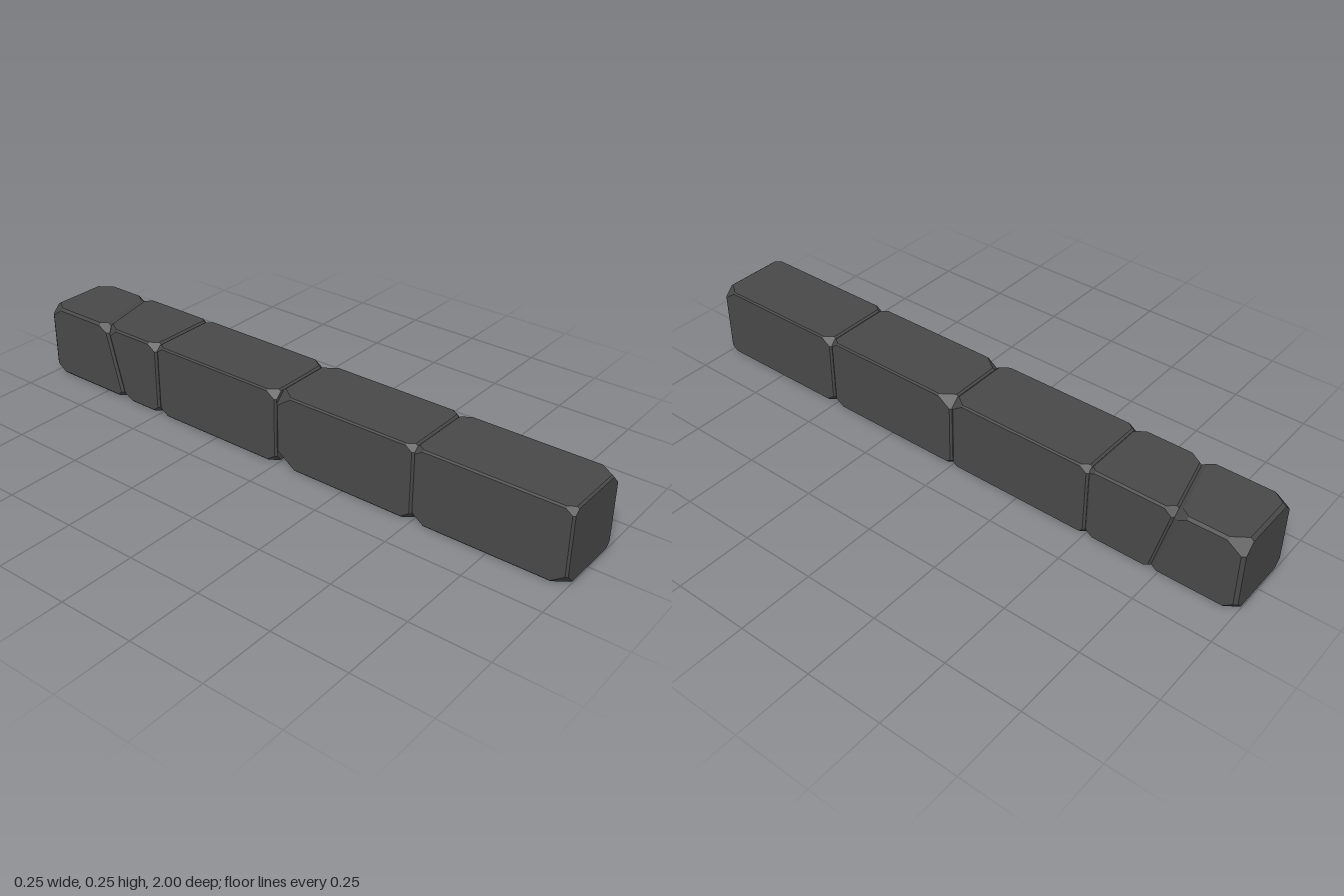
import * as THREE from 'three';
import { ConvexGeometry } from 'three/addons/geometries/ConvexGeometry.js';

const HALF = 0.125, HEIGHT = 0.25;

// Slanted crack that splits the rearmost stone in two
const crack = (x, y) => -0.725 - 0.24 * x - 0.26 * (y - 0.125);
const flat = z => () => z;

// Stones from front to back: back plane, front plane, edge bevel and the
// corner chips (x- then x+; in each: bottom back, bottom front, top back, top front)
const STONES = [
  { back: flat(0.5), front: flat(1), bevel: 0.005,
    chips: [0.03, 0.035, 0.02, 0.02, 0.025, 0.02, 0.025, 0.035] },
  { back: flat(0), front: flat(0.5), bevel: 0.005,
    chips: [0.05, 0.025, 0.04, 0.02, 0.015, 0.025, 0.035, 0.02] },
  { back: flat(-0.5), front: flat(0), bevel: 0.005,
    chips: [0.025, 0.025, 0.02, 0.025, 0.015, 0.015, 0.02, 0.03] },
  { back: crack, front: flat(-0.5), bevel: 0.006,
    chips: [0.025, 0.02, 0.03, 0.025, 0.015, 0.02, 0.025, 0.015] },
  { back: flat(-1), front: crack, bevel: 0.008,
    chips: [0.03, 0.02, 0.035, 0.025, 0.03, 0.015, 0.04, 0.025] },
];

// Bevelled block with every corner chipped by its own amount
function stoneGeometry({ back, front, bevel, chips }) {
  const points = [];
  for (let i = 0; i < 8; i++) {
    const sx = i & 4 ? 1 : -1, top = i & 2, isFront = i & 1;
    const c = chips[i], b = bevel;
    const add = (dx, dy, dz) => {
      const x = sx * (HALF - dx);
      const y = top ? HEIGHT - dy : dy;
      const z = isFront ? front(x, y) - dz : back(x, y) + dz;
      points.push(new THREE.Vector3(x, y, z));
    };
    // two points on each of the three faces that meet at this corner
    add(0, c, b * 1.4); add(0, b, c * 1.4);
    add(c, 0, b * 1.4); add(b, 0, c * 1.4);
    add(c, b, 0); add(b, c, 0);
  }
  return new ConvexGeometry(points);
}

export function createModel() {
  const group = new THREE.Group();
  group.name = 'stoneKerb';
  const material = new THREE.MeshStandardMaterial({ color: 0x484848, flatShading: true });
  STONES.forEach((stone, i) => {
    const mesh = new THREE.Mesh(stoneGeometry(stone), material);
    mesh.name = `stone${i + 1}`;
    group.add(mesh);
  });
  return group;
}
